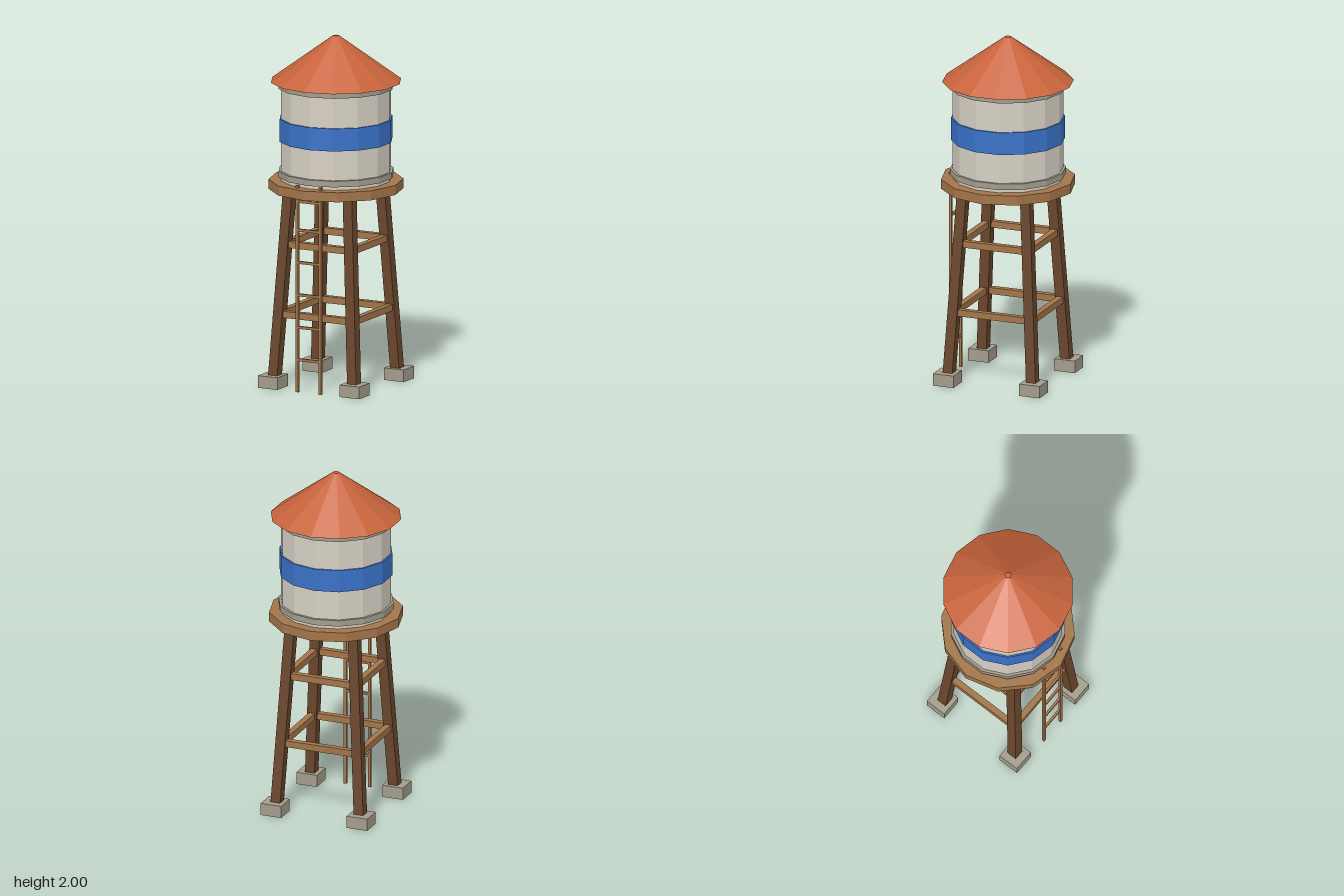
import * as THREE from 'three';

const mat = (name, color) => {
  const m = new THREE.MeshStandardMaterial({ color, flatShading: true });
  m.name = name;
  return m;
};

export function createModel() {
  const model = new THREE.Group();
  model.name = 'waterTower';

  const roofRed = mat('roofRed', 0xc8643c);
  const tankGrey = mat('tankGrey', 0xd6d0c4);
  const bandBlue = mat('bandBlue', 0x3a72c8);
  const stoneGrey = mat('stoneGrey', 0xa39d8c);
  const darkWood = mat('darkWood', 0x6b472d);
  const lightWood = mat('lightWood', 0xa3754a);

  const add = (parent, name, geometry, material, x = 0, y = 0, z = 0) => {
    const mesh = new THREE.Mesh(geometry, material);
    mesh.name = name;
    mesh.position.set(x, y, z);
    parent.add(mesh);
    return mesh;
  };
  // Faceted drum between two heights
  const drum = (name, rTop, rBottom, y0, y1, sides, material) =>
    add(model, name, new THREE.CylinderGeometry(rTop, rBottom, y1 - y0, sides), material, 0, (y0 + y1) / 2, 0);

  // Tank, hoops, painted band, roof and deck
  drum('platform', 0.38, 0.38, 1.12, 1.175, 12, lightWood);
  drum('tank', 0.313, 0.313, 1.175, 1.74, 14, tankGrey);
  drum('lowerHoop', 0.328, 0.328, 1.195, 1.23, 14, stoneGrey);
  drum('upperHoop', 0.328, 0.328, 1.705, 1.74, 14, stoneGrey);
  drum('blueBand', 0.322, 0.322, 1.4, 1.53, 14, bandBlue);
  drum('roof', 0.018, 0.372, 1.74, 2, 14, roofRed);

  // Legs lean inward: distance of the leg centre from each axis at height y
  const footY = 0.07, deckY = 1.12;
  const legOffset = (y) => THREE.MathUtils.mapLinear(y, footY, deckY, 0.253, 0.192);

  for (const sx of [-1, 1]) for (const sz of [-1, 1]) {
    add(model, 'footing', new THREE.BoxGeometry(0.125, footY, 0.125), stoneGrey, sx * 0.262, footY / 2, sz * 0.262);
    const leg = new THREE.BoxGeometry(0.058, deckY - footY, 0.058);
    leg.translate(0, (deckY + footY) / 2, 0);
    const p = leg.attributes.position;
    for (let i = 0; i < p.count; i++) {
      const d = legOffset(p.getY(i));
      p.setXYZ(i, p.getX(i) + sx * d, p.getY(i), p.getZ(i) + sz * d);
    }
    leg.computeVertexNormals();
    add(model, 'leg', leg, darkWood);
  }

  // Two levels of horizontal braces on all four sides
  for (const y of [0.42, 0.82]) {
    const d = legOffset(y);
    for (const s of [-1, 1]) {
      add(model, 'brace', new THREE.BoxGeometry(2 * d, 0.038, 0.036), lightWood, 0, y, s * d);
      add(model, 'brace', new THREE.BoxGeometry(0.036, 0.038, 2 * d), lightWood, s * d, y, 0);
    }
  }

  // Ladder at the front
  const ladder = new THREE.Group();
  ladder.name = 'ladder';
  model.add(ladder);
  for (const s of [-1, 1])
    add(ladder, 'ladderRail', new THREE.BoxGeometry(0.016, 1.19, 0.016), lightWood, s * 0.074, 0.595, 0.318);
  for (const y of [0.187, 0.373, 0.56, 0.747, 0.933, 1.098])
    add(ladder, 'ladderRung', new THREE.BoxGeometry(0.148, 0.015, 0.014), lightWood, 0, y, 0.318);

  return model;
}
